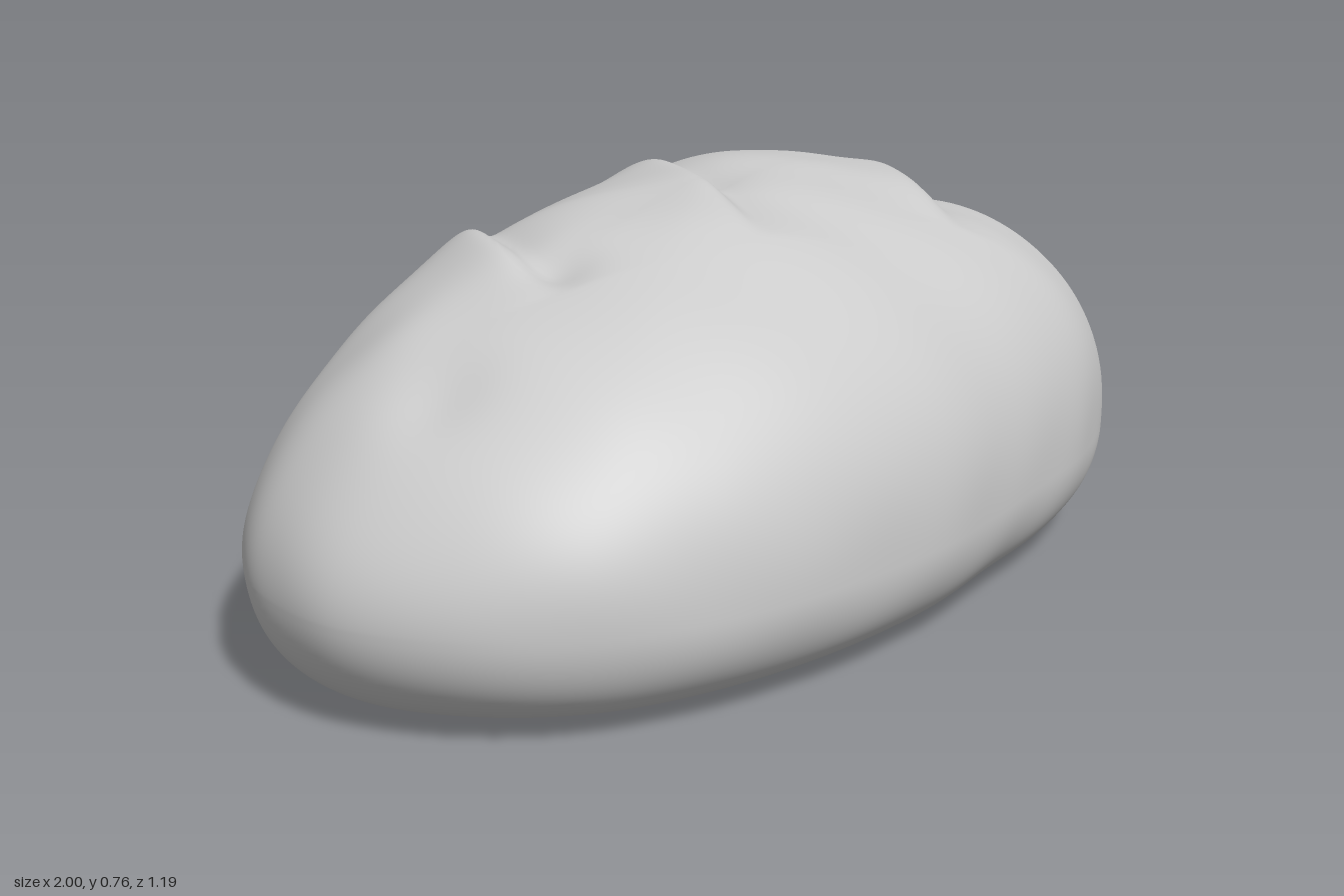
import * as THREE from 'three';

// Plan outline of the loaf at its widest level, as x, z pairs
const OUTLINE = [
  [-1, 0], [-0.96, -0.2], [-0.82, -0.38], [-0.6, -0.52], [-0.4, -0.55], [0, -0.572],
  [0.2, -0.6], [0.4, -0.575], [0.55, -0.53], [0.75, -0.43], [0.9, -0.27], [0.98, -0.1],
  [1, 0.05], [0.95, 0.22], [0.85, 0.36], [0.7, 0.47], [0.5, 0.54], [0.2, 0.575],
  [-0.08, 0.597], [-0.35, 0.565], [-0.6, 0.49], [-0.8, 0.375], [-0.93, 0.21],
];

// Scored slashes across the crust: back end, front end, depth, lip height, bow, softness
const SLASHES = [
  { a: [-0.2, -0.43], b: [-0.48, 0.06], depth: 0.04, lip: 0.025, bow: -0.03, soft: 0.012 },
  { a: [0.22, -0.41], b: [-0.12, 0.21], depth: 0.045, lip: 0.02, bow: 0.015, soft: 0.012 },
  { a: [0.73, -0.19], b: [0.39, 0.3], depth: 0.06, lip: 0.025, bow: 0.015, soft: 0.015 },
];

// Soft dents and swellings: x, z, radius, height
const BUMPS = [
  [-0.75, 0.03, 0.08, -0.018], [-0.68, -0.14, 0.09, 0.012], [-0.42, 0.0, 0.06, -0.015],
  [0.28, -0.12, 0.2, 0.022], [0.25, -0.3, 0.15, 0.012], [-0.3, -0.1, 0.12, 0.012],
  [0.48, -0.12, 0.14, 0.018], [0.94, 0.13, 0.05, -0.04],
];

const SIDES = 260, TOP = 100, BASE = 24, FLAT = 10, WIDEST = 0.2;
const bulge = (r, p, q) => Math.pow(Math.max(0, 1 - Math.pow(r, p)), q);

// Dome height from 0 to 1, blended between the four sides' own curves
function dome(r, x, z) {
  const c = x * x, s = (z / 0.59) ** 2;
  const end = x > 0 ? bulge(r, 2, 0.37) : bulge(r, 1.6, 0.53);
  const side = z > 0 ? bulge(r, 1.5, 0.4) : bulge(r, 3, 0.72);
  return (end * c + side * s) / (c + s);
}

// Each slash is a raised lip, a sharp drop and a gentle slope back up
function slashHeight(x, z) {
  let h = 0;
  for (const { a, b, depth, lip, bow, soft } of SLASHES) {
    const dx = b[0] - a[0], dz = b[1] - a[1], len = Math.hypot(dx, dz);
    const t = ((x - a[0]) * dx + (z - a[1]) * dz) / (len * len);
    if (t <= 0 || t >= 1) continue;
    const arch = Math.sin(Math.PI * t);
    const d = ((x - a[0]) * dz - (z - a[1]) * dx) / len - bow * arch;
    const step = 1 / (1 + Math.exp(-d / soft));
    const drop = depth * step * Math.exp(-Math.max(d, 0) / 0.09);
    const rise = lip * (1 - step) * Math.exp(-((d / 0.1) ** 2));
    h += (rise - drop) * arch;
  }
  for (const [bx, bz, rad, amount] of BUMPS) {
    h += amount * Math.exp(-((x - bx) ** 2 + (z - bz) ** 2) / (rad * rad));
  }
  return h;
}

// Gentle unevenness of the crust
const ripple = (x, y, z) =>
  0.003 * Math.sin(9 * x + 5 * y + 2) * Math.sin(8 * z - 6 * y + 1) +
  0.002 * Math.sin(21 * x - 9 * z) * Math.sin(17 * y + 13 * z);

// How far the underside is set in: more along the front, and in a hollow at the back
function inset(x, z) {
  const s = z * z / (x * x * 0.35 + z * z);
  const hollow = 0.05 * Math.exp(-(((x - 0.15) / 0.35) ** 2));
  return 0.18 + s * (z > 0 ? 0.06 : hollow);
}

function loafGeometry() {
  const curve = new THREE.CatmullRomCurve3(
    OUTLINE.map(([x, z]) => new THREE.Vector3(x, 0, z)), true);
  const edge = curve.getSpacedPoints(SIDES).slice(0, SIDES);
  const floor = (z) => 0.012 + 0.024 * z;
  const pos = [0, WIDEST + 0.55 + slashHeight(0, 0), 0];

  // Domed crust, from the crown out to the widest level
  for (let i = 1; i <= TOP; i++) {
    const r = Math.sin((i / TOP) * Math.PI / 2);
    for (const e of edge) {
      const x = e.x * r, z = e.z * r;
      const y = WIDEST + 0.55 * dome(r, e.x, e.z);
      const fade = Math.min(1, (1 - r) * 8);
      const w = ripple(x, y, z), spread = 1 + w * (1 - fade);
      pos.push(x * spread, y + fade * (slashHeight(x, z) + w), z * spread);
    }
  }
  // Rounded lower edge tucking under the loaf
  for (let i = 1; i <= BASE; i++) {
    const a = (i / BASE) * Math.PI / 2;
    for (const e of edge) {
      const r = 1 - inset(e.x, e.z) * (1 - Math.cos(a));
      const x = e.x * r, z = e.z * r;
      const y = WIDEST - (WIDEST - floor(z)) * Math.sin(a);
      const spread = 1 + ripple(x, y, z) * Math.cos(a);
      pos.push(x * spread, y, z * spread);
    }
  }
  // Flat underside
  for (let i = 1; i < FLAT; i++) {
    for (const e of edge) {
      const r = (1 - inset(e.x, e.z)) * (1 - i / FLAT);
      pos.push(e.x * r, floor(e.z * r), e.z * r);
    }
  }
  pos.push(0, floor(0), 0);

  // Join the rings, closing both poles
  const rings = TOP + BASE + FLAT - 1, last = pos.length / 3 - 1, index = [];
  const at = (i, j) => 1 + i * SIDES + (j % SIDES);
  for (let j = 0; j < SIDES; j++) {
    index.push(0, at(0, j + 1), at(0, j));
    for (let i = 0; i < rings - 1; i++) {
      const a = at(i, j), b = at(i, j + 1), c = at(i + 1, j), d = at(i + 1, j + 1);
      index.push(a, d, c, a, b, d);
    }
    index.push(last, at(rings - 1, j), at(rings - 1, j + 1));
  }
  const geo = new THREE.BufferGeometry();
  geo.setAttribute('position', new THREE.Float32BufferAttribute(pos, 3));
  geo.setIndex(index);
  geo.computeVertexNormals();
  return geo;
}

export function createModel() {
  const group = new THREE.Group();
  group.name = 'breadLoaf';
  const loaf = new THREE.Mesh(
    loafGeometry(), new THREE.MeshStandardMaterial({ color: 0xcccccc }));
  loaf.name = 'loaf';
  group.add(loaf);
  return group;
}
